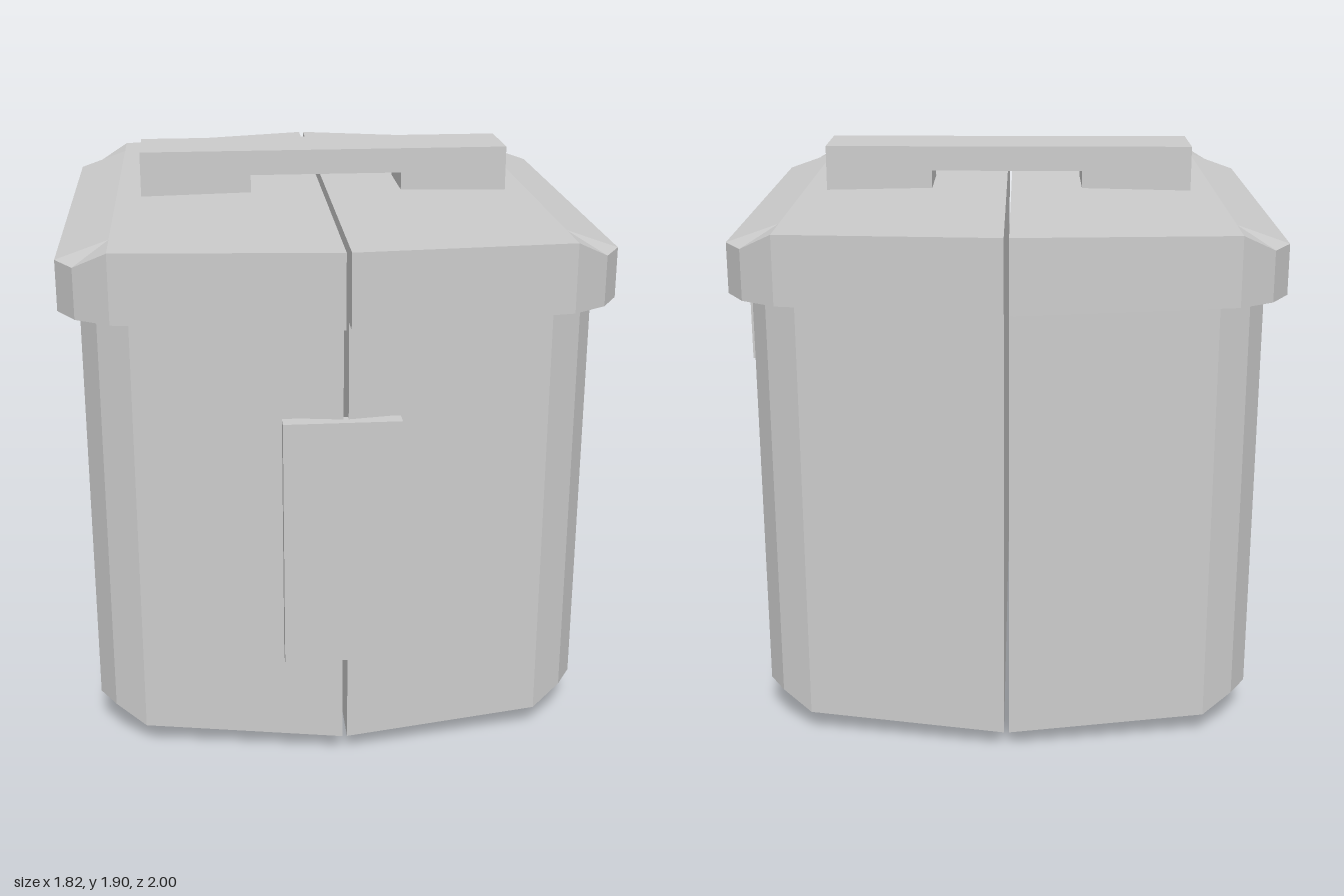
import * as THREE from 'three';

const material = new THREE.MeshStandardMaterial({ color: 0xcccccc, flatShading: true });
const SEAM_X = -0.02; // the container is split lengthwise here
const GAP = 0.008;

// One half of a chamfered shell: flat at yFlat, sloping cap towards yRidge.
function shellHalf(side, scale, yFlat, yEdge, yShoulder, yRidge) {
  const s = scale;
  const quarter = [
    [GAP, s, yRidge],
    [0.72 * s, 0.89 * s, yShoulder],
    [0.83 * s, 0.82 * s, yEdge],
    [0.89 * s, 0.72 * s, yEdge],
  ];
  const outline = [...quarter, ...quarter.map(([x, z, y]) => [x, -z, y]).reverse()];
  const inner = [0.72, -0.72].map((z) => [0.72 * s, z * s, yShoulder]);
  const cap = [...outline, ...inner];
  const points = [...cap, ...outline.map(([x, z]) => [x, z, yFlat])];
  const base = cap.length;

  // Cap: main panel, side slope and two chamfered corners
  const polygons = [[0, 1, 6, 7], [8, 3, 4, 9], [8, 1, 2, 3], [9, 4, 5, 6]];
  // Walls, including the closed seam face
  for (let i = 0; i < 8; i++) {
    const j = (i + 1) % 8;
    polygons.push([i, base + i, base + j, j]);
  }
  // Flat end
  polygons.push([7, 6, 5, 4, 3, 2, 1, 0].map((i) => base + i));
  // Close the sliver between panel and slope
  const flip = side * (yRidge > yFlat ? 1 : -1) < 0;
  const index = [];
  for (const p of polygons) {
    // corner polygons fan from their inner point, which comes first
    for (let k = 1; k < p.length - 1; k++) {
      index.push(p[0], ...(flip ? [p[k + 1], p[k]] : [p[k], p[k + 1]]));
    }
  }
  const geometry = new THREE.BufferGeometry();
  geometry.setAttribute('position', new THREE.Float32BufferAttribute(
    points.flatMap(([x, z, y]) => [SEAM_X + side * x, y, z]), 3));
  geometry.setIndex(index);
  const flat = geometry.toNonIndexed();
  flat.computeVertexNormals();
  return flat;
}

export function createModel() {
  const model = new THREE.Group();
  model.name = 'splitContainer';

  const add = (name, geometry) => {
    const mesh = new THREE.Mesh(geometry, material);
    mesh.name = name;
    model.add(mesh);
    return mesh;
  };
  // Box given by its low and high limits on each axis
  const addBox = (name, [x0, x1], [y0, y1], [z0, z1]) => {
    add(name, new THREE.BoxGeometry(x1 - x0, y1 - y0, z1 - z0))
      .position.set((x0 + x1) / 2, (y0 + y1) / 2, (z0 + z1) / 2);
  };

  // Body and lid halves
  for (const [side, label] of [[1, 'left'], [-1, 'right']]) {
    add(label + 'Body', shellHalf(side, 0.926, 1.525, 0.13, 0.08, 0.065));
    add(label + 'Lid', shellHalf(side, 1, 1.525, 1.69, 1.75, 1.765));
  }

  // Carrying handle with a finger recess beneath
  const profile = new THREE.Shape([
    [-0.655, 1.74], [-0.275, 1.74], [-0.275, 1.82], [0.25, 1.82],
    [0.25, 1.74], [0.62, 1.74], [0.62, 1.905], [-0.655, 1.905],
  ].map(([x, y]) => new THREE.Vector2(x, y)));
  add('handle', new THREE.ExtrudeGeometry(profile, { depth: 0.255, bevelEnabled: false }))
    .position.z = -0.13;

  // Front plate bridging the seam, and the clip on the left side
  addBox('frontPlate', [-0.22, 0.155], [0.375, 1.21], [0.905, 0.957]);
  addBox('sideClip', [0.795, 0.91], [1.135, 1.585], [-0.13, 0.125]);

  // Feet
  for (const x of [-0.515, 0.47]) {
    for (const z of [-0.535, 0.55]) {
      addBox('foot', [x - 0.075, x + 0.075], [0, 0.1], [z - 0.075, z + 0.075]);
    }
  }
  return model;
}
